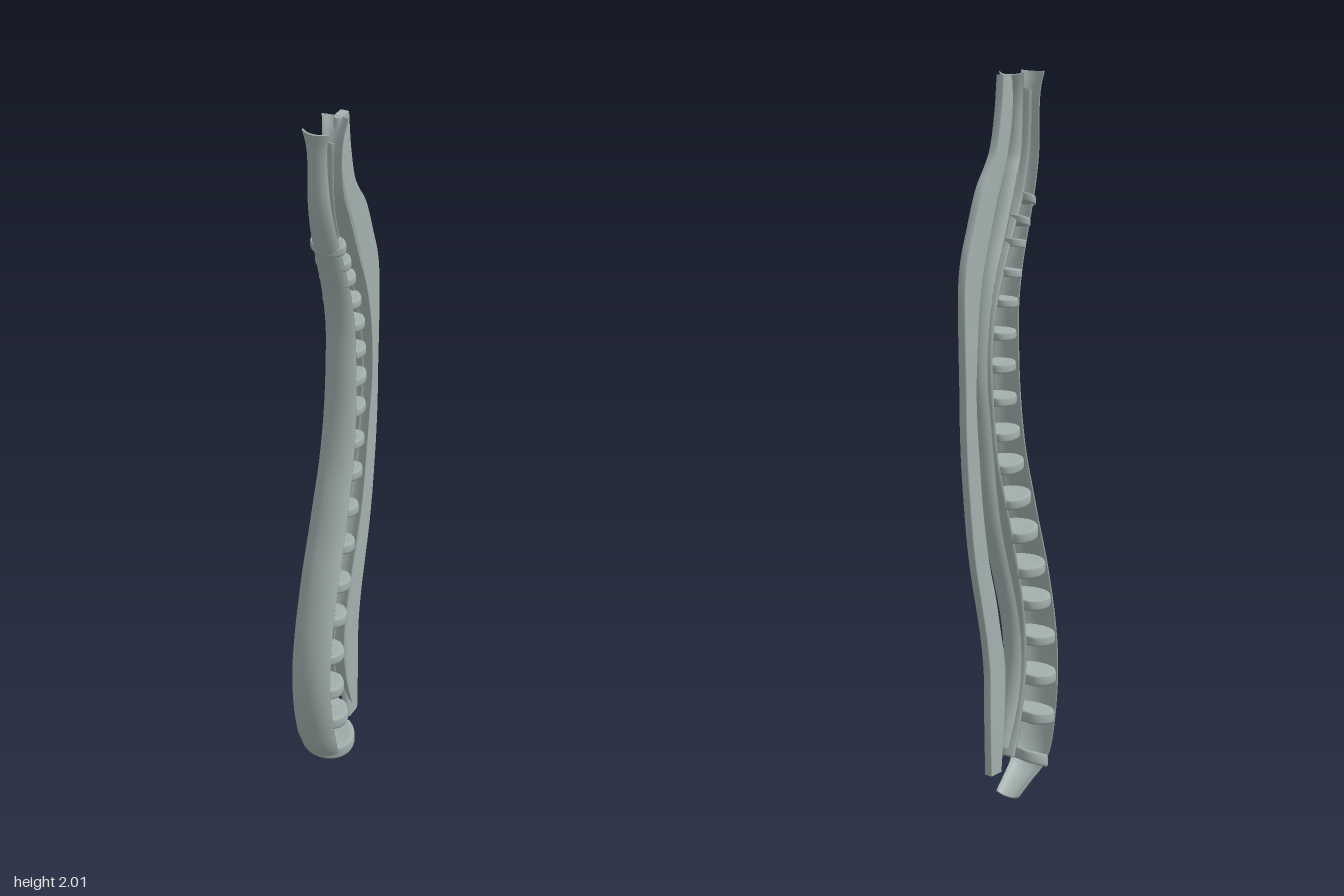
import * as THREE from 'three';

const material = new THREE.MeshStandardMaterial({ color: 0xa3b1ae, side: THREE.DoubleSide });
material.name = 'grey green';

// Sweeps a closed cross-section along a path of [y, z, size] in the middle plane.
// ring(size) gives [x, d] points, d pointing forward across the path.
function sweep(name, path, ring, steps = 80) {
  const curve = new THREE.CatmullRomCurve3(path.map(([y, z, s]) => new THREE.Vector3(s, y, z)));
  const pos = [], index = [];
  let n = 0;
  for (let i = 0; i <= steps; i++) {
    const u = i / steps;
    const p = curve.getPoint(u);
    const t = curve.getTangent(u);
    const len = Math.hypot(t.y, t.z);
    const ny = -t.z / len, nz = t.y / len;
    const pts = ring(p.x);
    n = pts.length;
    // front normal must keep pointing towards +z
    const f = nz < 0 ? -1 : 1;
    for (const [x, d] of pts) pos.push(x, p.y + f * ny * d, p.z + f * nz * d);
  }
  for (let i = 0; i < steps; i++) {
    for (let j = 0; j < n; j++) {
      const a = i * n + j, b = i * n + (j + 1) % n;
      index.push(a, b, a + n, b, b + n, a + n);
    }
  }
  // end caps, with their own corners so the rims stay sharp
  for (const row of [0, steps]) {
    const base = pos.length / 3;
    for (let k = 0; k < n * 3; k++) pos.push(pos[row * n * 3 + k]);
    for (let j = 0; j < n / 2 - 1; j++) {
      const a = base + j, b = base + j + 1, c = base + n - 1 - j, d = base + n - 2 - j;
      if (row === 0) index.push(a, c, b, b, c, d);
      else index.push(a, b, c, b, d, c);
    }
  }
  const geo = new THREE.BufferGeometry();
  geo.setAttribute('position', new THREE.Float32BufferAttribute(pos, 3));
  geo.setIndex(index);
  geo.computeVertexNormals();
  const mesh = new THREE.Mesh(geo, material);
  mesh.name = name;
  return mesh;
}

// Curved band: bend > 0 bulges forward, bend < 0 bulges backward
function band(w, bend, thick) {
  const front = [], back = [];
  for (let i = 0; i <= 8; i++) {
    const s = -1 + i / 4;
    const d = -bend * Math.pow(Math.abs(s), 2.4);
    front.push([s * w, d]);
    back.unshift([s * w * 0.97, d - thick]);
  }
  return [...front, ...back];
}

// Fibrous disc: flattened kidney outline with a waisted rim
function disc(y, front, back, halfWidth, tilt, height) {
  const depth = (front - back) / 2;
  const h = height / 2;
  const geo = new THREE.LatheGeometry([
    [0, -h * 0.75], [0.75, -h * 0.8], [0.97, -h], [1, -h * 0.6],
    [1, h * 0.6], [0.97, h], [0.75, h * 0.8], [0, h * 0.75],
  ].map(([r, v]) => new THREE.Vector2(r, v)), 28);
  const p = geo.attributes.position;
  for (let i = 0; i < p.count; i++) {
    const x = p.getX(i), z = p.getZ(i);
    // hollow the rear and lift it by the tilt
    const dent = z < 0 ? 0.22 * Math.max(0, 1 - 3 * x * x) * -z : 0;
    p.setXYZ(i, x * halfWidth, p.getY(i) - z * tilt, (z + dent) * depth);
  }
  geo.computeVertexNormals();
  const mesh = new THREE.Mesh(geo, material);
  mesh.name = 'disc';
  mesh.position.set(0, y, (front + back) / 2);
  return mesh;
}

export function createModel() {
  const model = new THREE.Group();
  model.name = 'spineLigaments';

  // Broad band down the front
  model.add(sweep('frontLigament', [
    [0, 0.025, 0.038], [0.03, 0.075, 0.045], [0.06, 0.125, 0.054], [0.11, 0.16, 0.061],
    [0.2, 0.185, 0.062], [0.3, 0.199, 0.061], [0.4, 0.2, 0.06], [0.5, 0.189, 0.058],
    [0.6, 0.168, 0.057], [0.7, 0.142, 0.056], [0.8, 0.11, 0.055], [0.9, 0.081, 0.053],
    [1, 0.053, 0.051], [1.1, 0.035, 0.049], [1.2, 0.025, 0.047], [1.3, 0.022, 0.045],
    [1.4, 0.024, 0.043], [1.5, 0.041, 0.042], [1.6, 0.072, 0.04], [1.7, 0.105, 0.037],
    [1.8, 0.128, 0.032], [1.9, 0.134, 0.027], [1.96, 0.139, 0.029], [2, 0.147, 0.037],
  ], (w) => band(w, w * 0.38, 0.005), 110));

  // Thin strip behind the discs
  model.add(sweep('rearLigament', [
    [0.13, 0.02, 0.02], [0.2, 0.045, 0.02], [0.3, 0.068, 0.02], [0.4, 0.077, 0.02],
    [0.5, 0.072, 0.02], [0.6, 0.055, 0.02], [0.7, 0.03, 0.02], [0.8, 0.002, 0.02],
    [0.9, -0.03, 0.02], [1, -0.058, 0.02], [1.1, -0.072, 0.02], [1.2, -0.082, 0.02],
    [1.3, -0.082, 0.02], [1.4, -0.065, 0.02], [1.5, -0.03, 0.021], [1.6, 0.014, 0.022],
    [1.69, 0.055, 0.023], [1.8, 0.081, 0.024], [1.96, 0.088, 0.025],
  ], (w) => band(w, -0.003, 0.004)));

  // Trough-shaped band lining the back of the canal
  model.add(sweep('canalLigament', [
    [0.17, -0.024, 0.026], [0.22, -0.006, 0.028], [0.3, 0.018, 0.03], [0.4, 0.031, 0.03],
    [0.5, 0.022, 0.03], [0.6, -0.004, 0.03], [0.7, -0.036, 0.03], [0.8, -0.066, 0.03],
    [0.9, -0.086, 0.03], [1, -0.1, 0.03], [1.1, -0.114, 0.03], [1.2, -0.127, 0.03],
    [1.3, -0.127, 0.03], [1.4, -0.115, 0.031], [1.5, -0.09, 0.032], [1.6, -0.05, 0.032],
    [1.75, 0.008, 0.03], [1.8, 0.028, 0.028], [1.9, 0.038, 0.026], [1.96, 0.032, 0.03],
    [2, 0.018, 0.037],
  ], (w) => band(w, -w * 0.45, 0.005)));

  // Rear sheet, given by its front and back edges
  const sheet = [
    [0.1, -0.022, -0.077], [0.2, -0.01, -0.08], [0.3, -0.003, -0.082], [0.4, -0.003, -0.083],
    [0.5, -0.024, -0.096], [0.6, -0.046, -0.118], [0.7, -0.075, -0.142], [0.8, -0.095, -0.16],
    [0.9, -0.11, -0.172], [1, -0.12, -0.182], [1.1, -0.13, -0.187], [1.2, -0.134, -0.188],
    [1.3, -0.128, -0.191], [1.4, -0.12, -0.193], [1.47, -0.108, -0.192], [1.53, -0.092, -0.183],
    [1.6, -0.068, -0.158], [1.7, -0.032, -0.118], [1.75, -0.01, -0.083], [1.8, 0.008, -0.054],
    [1.9, 0.03, -0.03], [2, 0.028, -0.018],
  ].map(([y, f, b]) => [y, (f + b) / 2, (f - b) / 2]);
  const t = 0.012;
  model.add(sweep('rearSheet', sheet, (s) => [
    [-t, s * 0.7], [-t * 0.5, s], [t * 0.5, s], [t, s * 0.7],
    [t, -s * 0.9], [t * 0.8, -s], [-t * 0.8, -s], [-t, -s * 0.9],
  ]));

  // Discs: centre height, front z, back z, half width, rise of the rear, height
  const discs = new THREE.Group();
  discs.name = 'discs';
  [
    [1.675, 0.092, 0.05, 0.05, 0.012, 0.022], [1.62, 0.07, 0.02, 0.05, 0.01, 0.022],
    [1.565, 0.055, -0.01, 0.05, 0.007, 0.022], [1.49, 0.035, -0.038, 0.053, 0.005, 0.022],
    [1.415, 0.02, -0.062, 0.053, 0.002, 0.022], [1.33, 0.016, -0.075, 0.051, 0, 0.022],
    [1.245, 0.018, -0.084, 0.05, 0, 0.024], [1.155, 0.022, -0.08, 0.05, 0, 0.024],
    [1.06, 0.035, -0.07, 0.053, -0.004, 0.024], [0.97, 0.05, -0.055, 0.056, -0.006, 0.026],
    [0.87, 0.08, -0.028, 0.06, -0.008, 0.027], [0.77, 0.108, 0.002, 0.065, -0.008, 0.03],
    [0.662, 0.14, 0.03, 0.069, -0.006, 0.03], [0.562, 0.165, 0.055, 0.071, -0.003, 0.03],
    [0.45, 0.185, 0.076, 0.073, 0, 0.028], [0.335, 0.19, 0.078, 0.074, 0, 0.032],
    [0.225, 0.175, 0.062, 0.08, 0.006, 0.034], [0.11, 0.14, 0.028, 0.082, 0.026, 0.036],
  ].forEach((d) => discs.add(disc(...d)));
  model.add(discs);

  return model;
}
